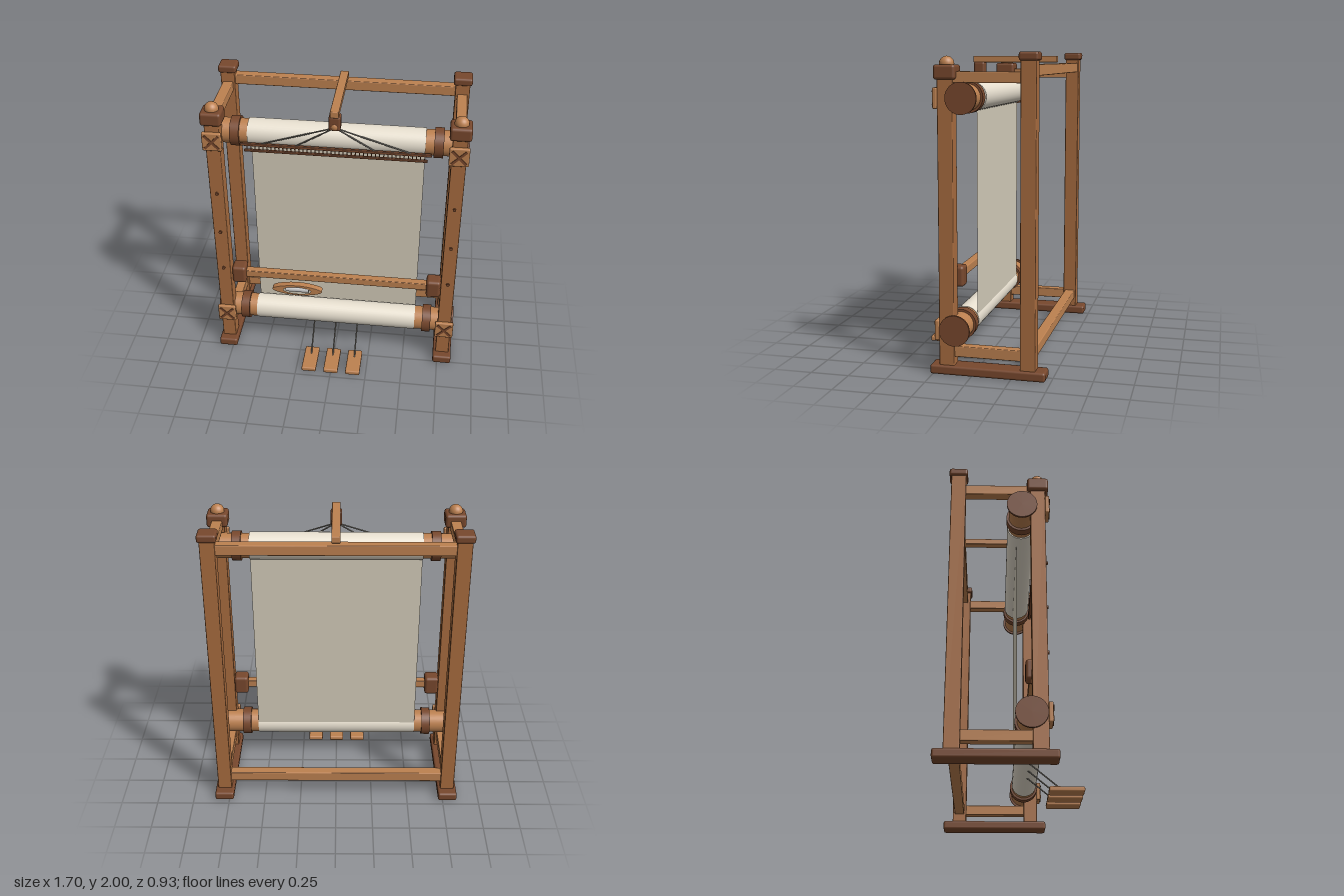
import * as THREE from 'three';
import { RoundedBoxGeometry } from 'three/addons/geometries/RoundedBoxGeometry.js';

const material = (color, side = THREE.FrontSide) =>
  new THREE.MeshStandardMaterial({ color, side });

export function createModel() {
  const loom = new THREE.Group();
  loom.name = 'loom';

  const wood = material(0xa86c3f);
  const lightWood = material(0xbd8150);
  const darkWood = material(0x78482d);
  const yarn = material(0xe8e0d0);
  const fabric = material(0xd4ccba, THREE.DoubleSide);
  const cordGrey = material(0x6f6b62);
  const thread = material(0xc9c9cc);

  function add(name, geometry, mat, x = 0, y = 0, z = 0, parent = loom) {
    const mesh = new THREE.Mesh(geometry, mat);
    mesh.name = name;
    mesh.position.set(x, y, z);
    parent.add(mesh);
    return mesh;
  }

  // Softened box given by its extents
  function box(name, mat, [x0, x1], [y0, y1], [z0, z1], radius = 0.006) {
    return add(name, new RoundedBoxGeometry(x1 - x0, y1 - y0, z1 - z0, 2, radius), mat,
      (x0 + x1) / 2, (y0 + y1) / 2, (z0 + z1) / 2);
  }

  // Cylinder lying along x
  function roller(name, mat, radius, length, x, y, z, segments = 40) {
    const geometry = new THREE.CylinderGeometry(radius, radius, length, segments).rotateZ(Math.PI / 2);
    return add(name, geometry, mat, x, y, z);
  }

  // Thin round cord between two points
  function cord(name, from, to, radius) {
    const path = new THREE.LineCurve3(new THREE.Vector3(...from), new THREE.Vector3(...to));
    add(name, new THREE.TubeGeometry(path, 1, radius, 8), cordGrey);
  }

  const span = (center, size) => [center - size / 2, center + size / 2];
  const postX = 0.783;
  const beams = [
    { name: 'warpBeam', y: 1.725, z: 0.058, roll: 0.091 },
    { name: 'clothBeam', y: 0.29, z: 0.108, roll: 0.087 },
  ];

  // Side frames, mirrored left and right
  for (const side of [-1, 1]) {
    const x = side * postX;
    box('foot', darkWood, span(x, 0.13), [0.005, 0.065], [-0.467, 0.267], 0.015);
    box('frontPost', wood, span(x, 0.095), [0.06, 1.85], [0.112, 0.208]);
    box('rearPost', wood, span(x, 0.095), [0.06, 1.96], [-0.402, -0.306]);
    box('frontCap', darkWood, span(x, 0.138), [1.835, 1.925], [0.09, 0.228], 0.018);
    box('rearCap', darkWood, span(x, 0.122), [1.948, 2], [-0.415, -0.295], 0.015);
    add('finial', new THREE.SphereGeometry(0.046, 24, 16), lightWood, x, 1.93, 0.158);
    box('lowerSideRail', lightWood, span(x, 0.068), [0.118, 0.187], [-0.31, 0.115]);
    box('upperSideRail', lightWood, span(x, 0.068), [1.816, 1.884], [-0.31, 0.115]);

    // Peg holes
    for (const y of [0.695, 1.005, 1.32]) {
      const peg = new THREE.CylinderGeometry(0.011, 0.011, 0.02, 12).rotateX(Math.PI / 2);
      add('peg', peg, darkWood, x, y, 0.209);
    }

    // Bearing plates with crossed inlays
    for (const { y } of beams) {
      box('bearingPlate', lightWood, span(x, 0.128), span(y, 0.128), [0.205, 0.233], 0.008);
      for (const turn of [-1, 1]) {
        const bar = new THREE.BoxGeometry(0.13, 0.016, 0.008).rotateZ(turn * Math.PI / 4);
        add('crossInlay', bar, darkWood, x, y, 0.234);
      }
    }

    box('breastRailBlock', darkWood, span(side * 0.686, 0.098), [0.543, 0.677], [0.076, 0.184], 0.02);
  }

  // Cross rails
  box('rearTopRail', lightWood, [-0.74, 0.74], [1.858, 1.926], [-0.394, -0.326]);
  box('rearBottomRail', lightWood, [-0.74, 0.74], [0.118, 0.187], [-0.388, -0.32]);
  box('breastRail', lightWood, [-0.65, 0.65], [0.585, 0.639], [0.103, 0.157]);

  // Rollers with collars, end discs and wound cloth
  for (const { name, y, z, roll } of beams) {
    roller(name, lightWood, 0.083, 1.66, 0, y, z);
    roller(name + 'Roll', yarn, roll, 1.14, 0, y, z);
    for (const side of [-1, 1]) {
      roller(name + 'Collar', darkWood, 0.098, 0.06, side * 0.654, y, z);
      roller(name + 'EndDisc', darkWood, 0.098, 0.015, side * 0.836, y, z);
    }
  }

  // Stretched cloth
  add('cloth', new THREE.PlaneGeometry(1.14, 1.435), fabric, 0, 1.0075, 0.03);

  // Overhead arm with hanger block
  box('overheadArm', lightWood, span(0, 0.056), [1.933, 1.977], [-0.375, 0.2]);
  box('hangerBlock', darkWood, span(0, 0.076), [1.838, 1.938], [0.12, 0.196], 0.015);
  add('hangerKnob', new THREE.SphereGeometry(0.034, 20, 14), lightWood, 0, 1.866, 0.169);

  // Reed: two bars joined by a row of teeth
  box('reedTopBar', darkWood, span(0, 1.23), span(1.687, 0.02), span(0.16, 0.02), 0.005);
  box('reedBottomBar', darkWood, span(0, 1.18), span(1.643, 0.016), span(0.16, 0.02), 0.005);
  const teeth = 45;
  for (let i = 0; i < teeth; i++) {
    const x = -0.57 + (1.14 * i) / (teeth - 1);
    add('reedTooth', new THREE.BoxGeometry(0.006, 0.04, 0.008), darkWood, x, 1.665, 0.16);
  }
  for (const x of [-0.49, -0.26, 0.26, 0.49]) {
    cord('reedCord', [0, 1.845, 0.16], [x, 1.69, 0.16], 0.005);
  }

  // Shuttle: pointed hull with an opening for the bobbin
  const hull = new THREE.Shape();
  hull.moveTo(-0.176, 0);
  hull.bezierCurveTo(-0.176, 0.018, -0.08, 0.041, 0, 0.041);
  hull.bezierCurveTo(0.08, 0.041, 0.176, 0.018, 0.176, 0);
  hull.bezierCurveTo(0.176, -0.018, 0.08, -0.041, 0, -0.041);
  hull.bezierCurveTo(-0.08, -0.041, -0.176, -0.018, -0.176, 0);
  const opening = new THREE.Path();
  opening.absellipse(0, 0, 0.1, 0.029, 0, Math.PI * 2, true);
  hull.holes.push(opening);
  const hullGeometry = new THREE.ExtrudeGeometry(hull, {
    depth: 0.04, bevelEnabled: true, bevelSize: 0.003, bevelThickness: 0.003,
    bevelSegments: 2, curveSegments: 16,
  }).translate(0, 0, -0.02);
  add('shuttle', hullGeometry, lightWood, -0.28, 0.475, 0.115);
  roller('bobbin', thread, 0.024, 0.165, -0.28, 0.475, 0.115, 24);
  roller('bobbinPin', darkWood, 0.007, 0.22, -0.28, 0.475, 0.115, 12);

  // Treadles and their cords
  for (const x of [-0.157, 0, 0.157]) {
    box('treadle', lightWood, span(x, 0.102), [0.008, 0.042], [0.24, 0.467], 0.01);
    cord('treadleCord', [x, 0.035, 0.32], [x, 0.215, 0.105], 0.005);
  }

  return loom;
}
